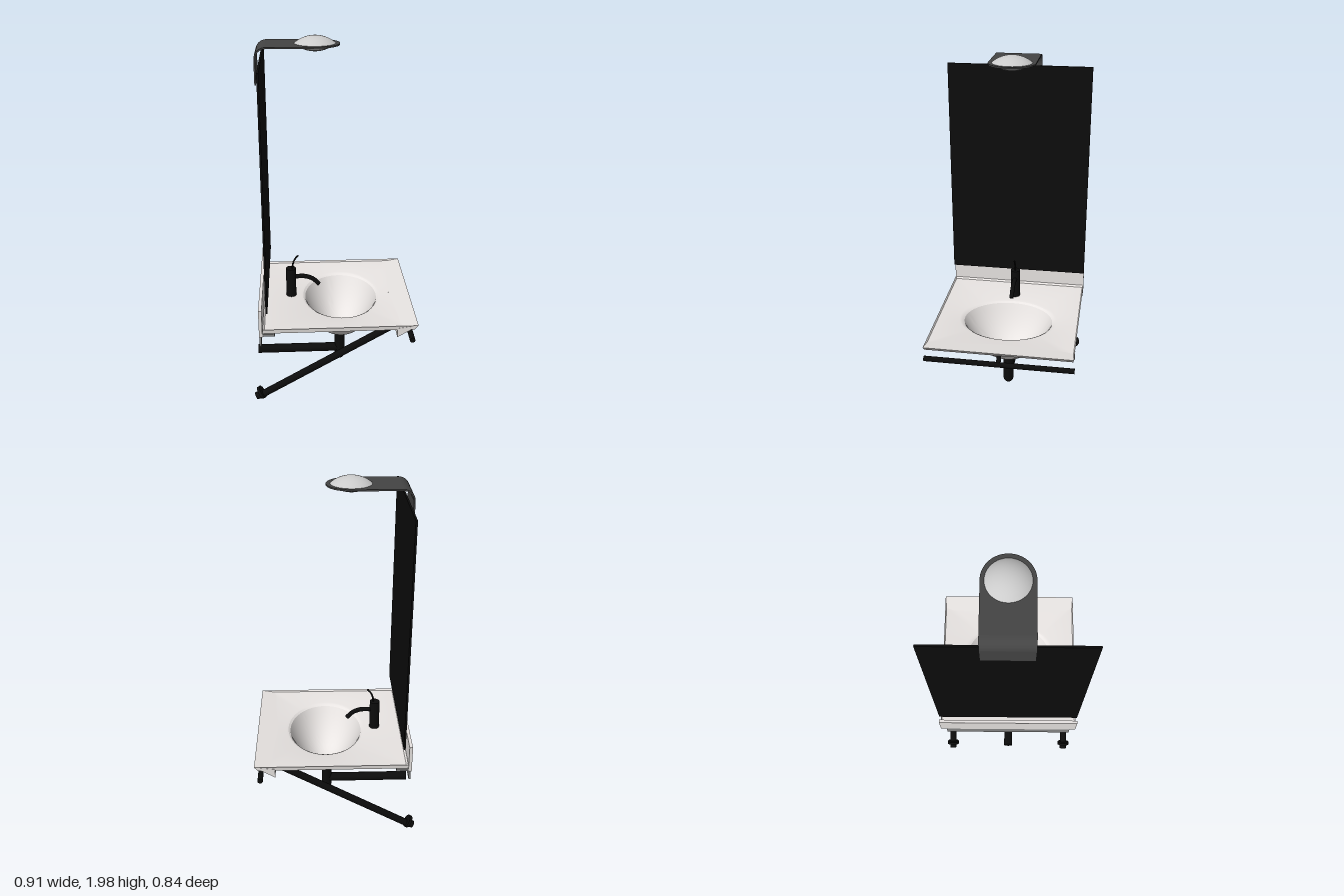
import * as THREE from 'three';
import { toCreasedNormals } from 'three/addons/utils/BufferGeometryUtils.js';

const mat = (color) => new THREE.MeshStandardMaterial({ color, side: THREE.DoubleSide });
const white = mat(0xe8e4e2), black = mat(0x0c0c0c), dark = mat(0x444444);
const grey = mat(0x888888), pale = mat(0xcccccc);
const V = (x, y, z) => new THREE.Vector3(x, y, z);

export function createModel() {
  const root = new THREE.Group();
  const add = (name, geometry, material, x = 0, y = 0, z = 0) => {
    const mesh = new THREE.Mesh(geometry, material);
    mesh.name = name;
    mesh.position.set(x, y, z);
    root.add(mesh);
    return mesh;
  };
  const box = (name, m, x0, x1, y0, y1, halfZ) =>
    add(name, new THREE.BoxGeometry(x1 - x0, y1 - y0, halfZ * 2), m, (x0 + x1) / 2, (y0 + y1) / 2, 0);
  const rod = (name, a, b, r, m = black) => {
    const mesh = add(name, new THREE.CylinderGeometry(r, r, a.distanceTo(b), 20), m);
    mesh.position.copy(a).lerp(b, 0.5);
    mesh.quaternion.setFromUnitVectors(V(0, 1, 0), b.clone().sub(a).normalize());
    return mesh;
  };
  const tube = (name, points, r) =>
    add(name, new THREE.TubeGeometry(new THREE.CatmullRomCurve3(points), 24, r, 12), black);

  // Basin: one loft running under the deck, over the rim and down into the bowl
  const SIDE = 24, CX = 0.05;
  const rect = (x0, x1, hz, y) => {
    const c = [[x1, hz], [x1, -hz], [x0, -hz], [x0, hz]];
    const ring = [];
    for (let s = 0; s < 4; s++) {
      const a = c[s], b = c[(s + 1) % 4];
      for (let i = 0; i < SIDE; i++) {
        const t = i / SIDE;
        ring.push(V(a[0] + (b[0] - a[0]) * t, y, a[1] + (b[1] - a[1]) * t));
      }
    }
    return ring;
  };
  const guide = rect(-0.40, 0.45, 0.415, 0);
  const oval = (rx, rz, y) => guide.map((p) => {
    const a = Math.atan2(p.z, p.x - CX);
    return V(CX + rx * Math.cos(a), y, rz * Math.sin(a));
  });
  const bowl = (rx, rz, top, depth) => {
    const rings = [];
    for (let i = 0; i <= 14; i++) {
      const u = i / 14; // radius fraction
      rings.push(oval(rx * u, rz * u, top - depth * (1 - Math.pow(u, 2.1))));
    }
    return rings;
  };
  const rings = [
    ...bowl(0.257, 0.285, 0.475, 0.245),
    rect(-0.40, 0.43, 0.412, 0.475),
    rect(-0.40, 0.45, 0.415, 0.5),
    rect(-0.39, 0.40, 0.408, 0.49),
    oval(0.235, 0.287, 0.481),
    oval(0.222, 0.273, 0.478),
    ...bowl(0.21, 0.26, 0.47, 0.225).reverse(),
  ];
  const n = guide.length, index = [];
  for (let r = 0; r < rings.length - 1; r++) {
    for (let i = 0; i < n; i++) {
      const a = r * n + i, b = r * n + (i + 1) % n;
      index.push(a, b, a + n, b, b + n, a + n);
    }
  }
  const basin = new THREE.BufferGeometry().setFromPoints(rings.flat());
  basin.setIndex(index);
  add('basin', toCreasedNormals(basin, 0.35), white);
  add('drainHole', new THREE.CylinderGeometry(0.03, 0.03, 0.012, 28), black, 0.05, 0.25, 0);

  // Wedge lip under the front edge of the deck
  const wedge = new THREE.Shape([[0.335, 0.485], [0.335, 0.43], [0.45, 0.5]].map((p) => new THREE.Vector2(...p)));
  add('frontLip', new THREE.ExtrudeGeometry(wedge, { depth: 0.83, bevelEnabled: false }), white, 0, 0, -0.415);

  // Wall side
  box('backsplash', white, -0.42, -0.402, 0.455, 0.615, 0.415);
  box('wallPlate', grey, -0.42, -0.41, 0.375, 0.456, 0.38);
  box('wallLedge', grey, -0.415, -0.335, 0.458, 0.472, 0.415);
  box('mirror', black, -0.38, -0.37, 0.6, 1.89, 0.415);

  // Lamp arm: bent strip with a rounded end, plus a lens
  const strip = new THREE.Shape();
  strip.moveTo(-0.405, 1.77);
  strip.lineTo(-0.405, 1.9);
  strip.absarc(-0.345, 1.9, 0.06, Math.PI, Math.PI / 2, true);
  strip.lineTo(-0.087, 1.96);
  strip.lineTo(-0.087, 1.952);
  strip.lineTo(-0.345, 1.952);
  strip.absarc(-0.345, 1.9, 0.052, Math.PI / 2, Math.PI, false);
  strip.lineTo(-0.397, 1.77);
  const arm = new THREE.ExtrudeGeometry(strip, { depth: 0.256, bevelEnabled: false, curveSegments: 14 });
  add('lampArm', toCreasedNormals(arm, 0.5), dark, 0, 0, -0.128);
  add('lampArmEnd', new THREE.CylinderGeometry(0.128, 0.128, 0.008, 32, 1, false, 0, Math.PI), dark, -0.087, 1.956, 0);
  const R = 0.171, cap = Math.asin(0.11 / R);
  for (const s of [1, -1]) {
    const lens = add('lampLens', new THREE.SphereGeometry(R, 40, 12, 0, Math.PI * 2, 0, cap), pale,
      -0.09, 1.959 - s * R * Math.cos(cap), 0);
    if (s < 0) lens.rotation.x = Math.PI;
  }

  // Tap
  rod('tapBody', V(-0.242, 0.485, 0), V(-0.242, 0.66, 0), 0.029);
  tube('tapSpout', [V(-0.23, 0.605, 0), V(-0.16, 0.605, 0), V(-0.115, 0.588, 0), V(-0.078, 0.552, 0)], 0.013);
  tube('tapLever', [V(-0.235, 0.65, 0), V(-0.229, 0.69, 0), V(-0.216, 0.72, 0), V(-0.198, 0.74, 0)], 0.005);

  // Waste trap and outlet pipe
  rod('trap', V(0.045, 0.07, 0), V(0.045, 0.24, 0), 0.03);
  add('trapEnd', new THREE.SphereGeometry(0.03, 20, 12), black, 0.045, 0.068, 0);
  rod('outletPipe', V(-0.45, 0.115, 0), V(0.045, 0.115, 0), 0.026);

  // Diagonal struts with wall feet
  for (const s of [1, -1]) {
    const z = s * 0.367;
    rod('strut', V(0.3, 0.47, z), V(-0.432, 0.04, z), 0.02);
    rod('strutFoot', V(-0.45, 0.038, z), V(-0.425, 0.05, z), 0.021);
    rod('strutCollar', V(-0.428, 0.058, z), V(-0.415, 0.066, z), 0.037);
  }

  // Towel rail on a short bracket
  rod('towelRail', V(0.42, 0.41, -0.42), V(0.42, 0.41, 0.42), 0.015);
  rod('towelRailBracket', V(0.375, 0.47, 0), V(0.42, 0.41, 0), 0.013);

  return root;
}
